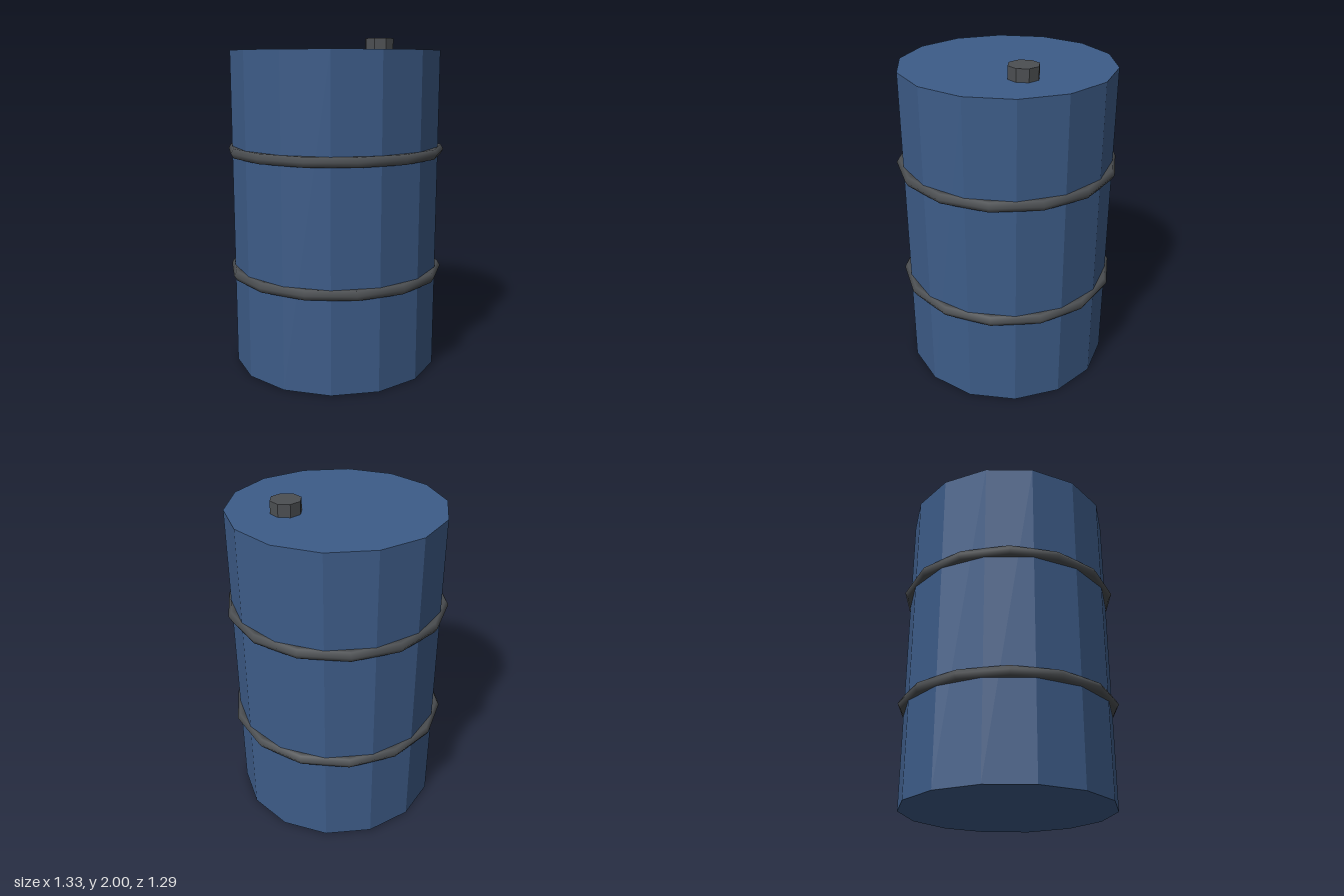
import * as THREE from 'three';

export function createModel() {
  const group = new THREE.Group();
  const blue = new THREE.MeshStandardMaterial({ name: 'bluePaint', color: 0x3d5c88, flatShading: true });
  const dark = new THREE.MeshStandardMaterial({ name: 'darkMetal', color: 0x4c4f52 });

  const add = (name, geometry, material, x, y) => {
    const mesh = new THREE.Mesh(geometry, material);
    mesh.name = name;
    mesh.position.set(x, y, 0);
    group.add(mesh);
  };

  // Fourteen-sided drum
  const height = 1.926, radius = 0.63;
  add('drumBody', new THREE.CylinderGeometry(radius, radius, height, 14), blue, 0, height / 2);

  // Rolling hoops, rounded around the tube
  const hoop = new THREE.TorusGeometry(radius, 0.033, 6, 14).rotateX(Math.PI / 2);
  add('lowerHoop', hoop, dark, 0, 0.595);
  add('upperHoop', hoop, dark, 0, 1.335);

  // Faceted filler cap, off centre on the lid
  const cap = new THREE.CylinderGeometry(0.09, 0.09, 0.074, 8).toNonIndexed();
  cap.computeVertexNormals();
  add('fillerCap', cap, dark, 0.295, 1.963);

  return group;
}
